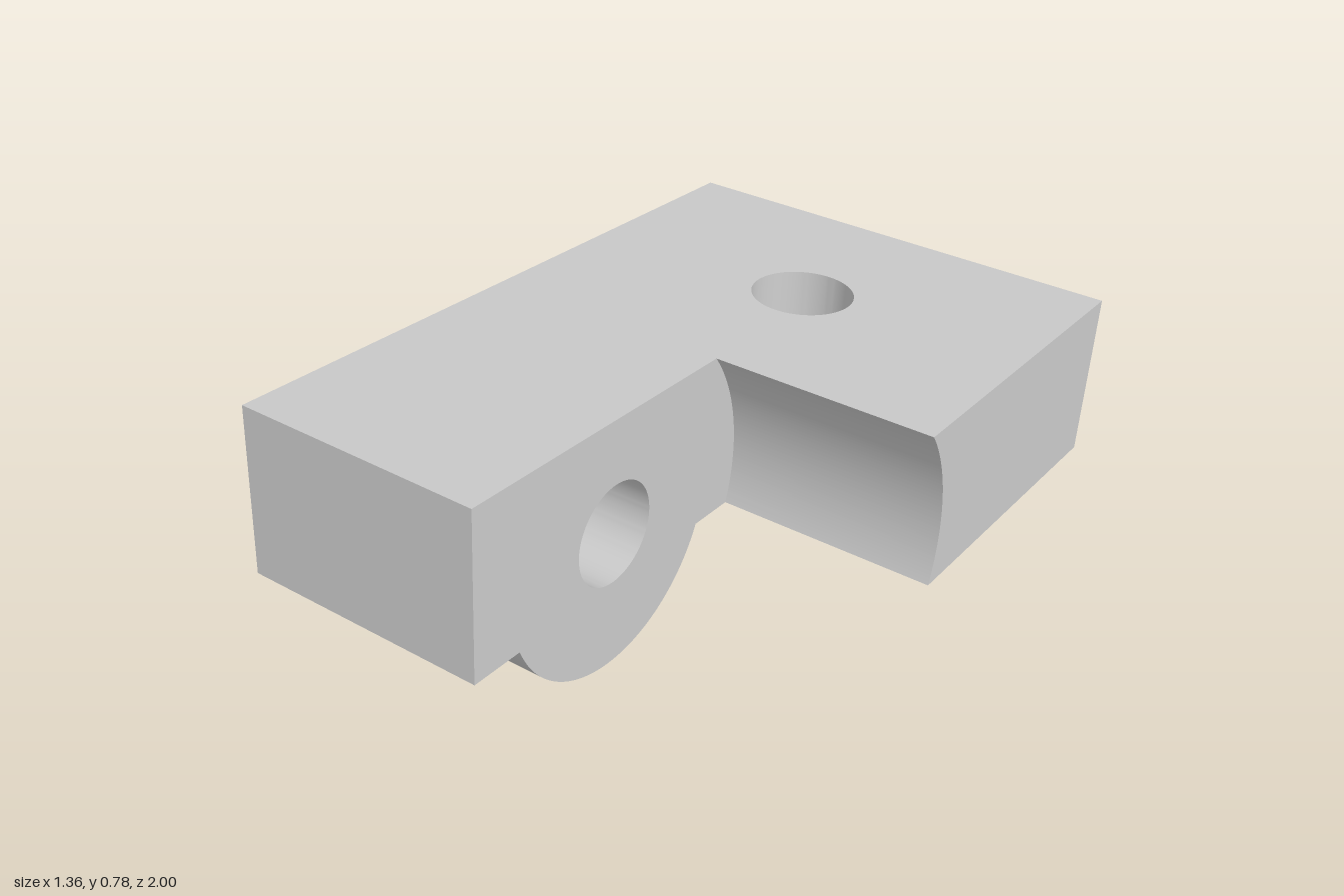
import * as THREE from 'three';
import { mergeGeometries, toCreasedNormals } from 'three/addons/utils/BufferGeometryUtils.js';

// Bracket frame: x across, y up from the top face, z from back to front
const WIDTH = 1.314, ARM = 0.70, LENGTH = 1.906, THICK = 0.467;
const SPLIT = 0.8;                       // hidden joint between plate and saddle
const CZ = 1.395, CY = -0.32;            // hinge axis
const BORE = 0.14, BOSS = 0.384, RELIEF = 0.515;
const topAngle = Math.PI - Math.asin(-CY / RELIEF);
const lowAngle = Math.PI + Math.asin((THICK + CY) / RELIEF);

// Extrude a (z, y) profile across x from x0 to x1
function acrossX(shape, x0, x1) {
  const g = new THREE.ExtrudeGeometry(shape, { depth: x1 - x0, bevelEnabled: false, curveSegments: 48 });
  return g.rotateY(-Math.PI / 2).translate(x1, 0, 0);
}

// Remove the triangles for which test(triangle) is true
function dropFaces(geometry, test) {
  const p = geometry.attributes.position, kept = [];
  for (let i = 0; i < p.count; i += 3) {
    const tri = [0, 1, 2].map(k => new THREE.Vector3().fromBufferAttribute(p, i + k));
    if (!test(tri)) tri.forEach(v => kept.push(v.x, v.y, v.z));
  }
  const out = new THREE.BufferGeometry();
  out.setAttribute('position', new THREE.Float32BufferAttribute(kept, 3));
  return out;
}

const near = (a, b) => Math.abs(a - b) < 1e-4;
const atSplit = tri => tri.every(v => near(v.z, SPLIT));
const atArmSide = tri => tri.every(v => near(v.x, ARM));
const isWall = tri => !tri.every(v => near(v.x, tri[0].x));
const onRelief = tri => isWall(tri) && tri.every(v => near(Math.hypot(v.z - CZ, v.y - CY), RELIEF));

// Back plate with a vertical bore
function plateGeometry() {
  const s = new THREE.Shape();
  s.moveTo(0, 0).lineTo(0, -SPLIT).lineTo(WIDTH, -SPLIT).lineTo(WIDTH, 0).closePath();
  s.holes.push(new THREE.Path().absarc(WIDTH / 2, -0.512, BORE, 0, Math.PI * 2, true));
  const g = new THREE.ExtrudeGeometry(s, { depth: THICK, bevelEnabled: false, curveSegments: 48 });
  g.rotateX(-Math.PI / 2).translate(0, -THICK, 0);
  return dropFaces(g, atSplit);
}

// Strip joining plate and arm, hollowed around the hinge axis where exposed
function saddleGeometries() {
  const s = new THREE.Shape();
  s.moveTo(SPLIT, -THICK);
  s.lineTo(SPLIT, 0);
  s.absarc(CZ, CY, RELIEF, topAngle, lowAngle, false);
  s.closePath();
  const hidden = t => atSplit(t) || atArmSide(t);
  return [
    dropFaces(acrossX(s, 0, ARM), t => hidden(t) || onRelief(t)),
    dropFaces(acrossX(s, ARM, WIDTH), hidden),
  ];
}

// Forward arm with round boss and cross bore
function armGeometry() {
  const a = -Math.asin((THICK + CY) / BOSS);
  const s = new THREE.Shape();
  s.moveTo(CZ + RELIEF * Math.cos(topAngle), 0);
  s.lineTo(LENGTH, 0);
  s.lineTo(LENGTH, -THICK);
  s.absarc(CZ, CY, BOSS, a, -Math.PI - a, true);
  s.absarc(CZ, CY, RELIEF, lowAngle, topAngle, true);
  s.holes.push(new THREE.Path().absarc(CZ, CY, BORE, 0, Math.PI * 2, false));
  return dropFaces(acrossX(s, 0, ARM), onRelief);
}

export function createModel() {
  const group = new THREE.Group();
  group.name = 'hingeBracket';
  const grey = new THREE.MeshStandardMaterial({ color: 0xcacaca });
  grey.name = 'plainGrey';

  const body = mergeGeometries([plateGeometry(), ...saddleGeometries(), armGeometry()]);

  // Slight tilt of the whole bracket
  const w = new THREE.Vector3(0.0400, 0.1223, 0.9917).normalize();
  const u = new THREE.Vector3(0.999, 0.0206, -0.0400);
  u.addScaledVector(w, -u.dot(w)).normalize();
  const v = new THREE.Vector3().crossVectors(w, u);
  body.applyMatrix4(new THREE.Matrix4().makeBasis(u, v, w).setPosition(-0.68, 0.53, -0.946));

  const mesh = new THREE.Mesh(toCreasedNormals(body, Math.PI / 7), grey);
  mesh.name = 'bracketBody';
  group.add(mesh);
  return group;
}
